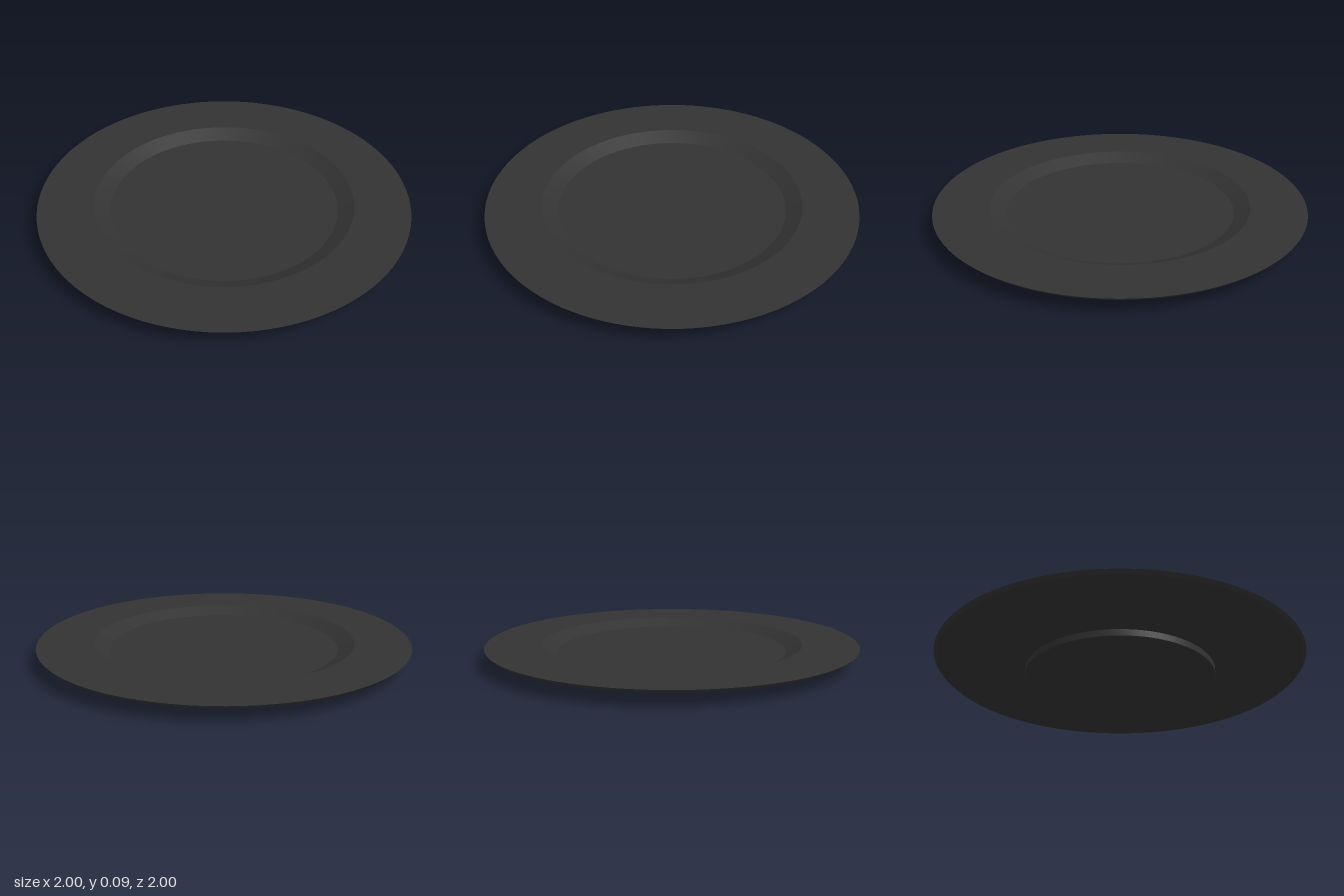
import * as THREE from 'three';
import { toCreasedNormals } from 'three/addons/utils/BufferGeometryUtils.js';

const SEGMENTS = 96;

// Revolve a profile of [radius, height] pairs, keeping its corners crisp
function revolve(name, profile, material) {
  const points = profile.map(([r, y]) => new THREE.Vector2(r, y));
  const geometry = toCreasedNormals(new THREE.LatheGeometry(points, SEGMENTS), 0.12);
  const mesh = new THREE.Mesh(geometry, material);
  mesh.name = name;
  return mesh;
}

export function createModel() {
  const model = new THREE.Group();
  model.name = 'plate';
  const dark = new THREE.MeshStandardMaterial({ color: 0x333333 });

  // Solid round foot under the plate
  model.add(revolve('foot', [[0, 0], [0.51, 0], [0.515, 0.004], [0.515, 0.041]], dark));

  // Sloping underside and bevelled outer edge
  model.add(revolve('underside', [[0.515, 0.039], [0.982, 0.068], [1, 0.086]], dark));

  // Wide flat rim
  model.add(revolve('rim', [[1, 0.086], [0.7, 0.086]], dark));

  // Sunken well: sloping wall and flat floor
  model.add(revolve('well', [[0.7, 0.086], [0.615, 0.047], [0, 0.047]], dark));

  return model;
}
